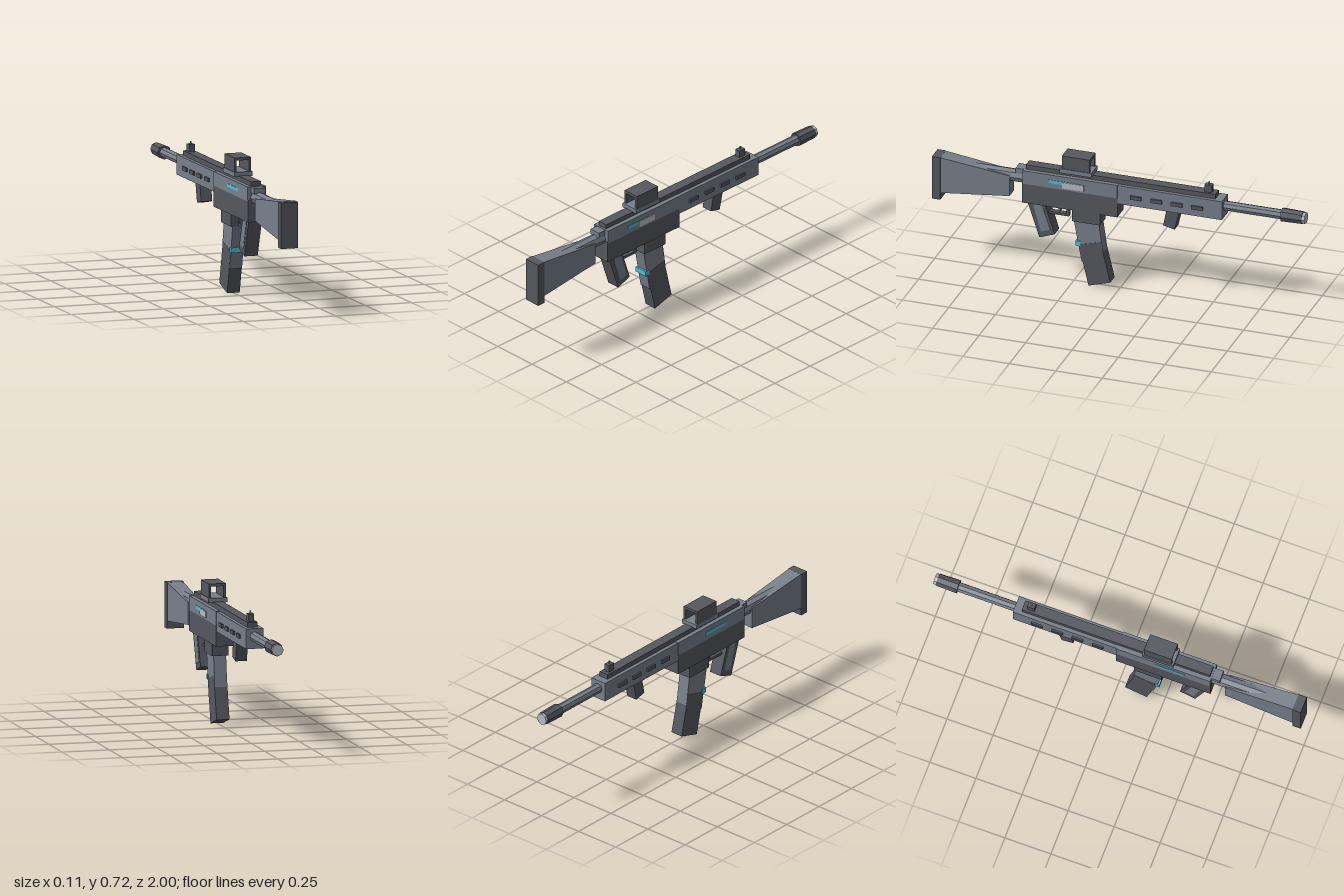
import * as THREE from 'three';

const mat = (name, color) => {
  const m = new THREE.MeshStandardMaterial({ color });
  m.name = name;
  return m;
};

export function createModel() {
  const steel = mat('steel grey', 0x78808b);
  const dark = mat('dark grey', 0x55585f);
  const silver = mat('silver', 0xb9bdc1);
  const cyan = mat('cyan', 0x4fc0d4);

  const model = new THREE.Group();
  model.name = 'rifle';

  const add = (name, geometry, material) => {
    const mesh = new THREE.Mesh(geometry, material);
    mesh.name = name;
    model.add(mesh);
    return mesh;
  };

  // Box from its extents on each axis
  const box = (name, material, [x0, x1], [y0, y1], [z0, z1]) => {
    const g = new THREE.BoxGeometry(x1 - x0, y1 - y0, z1 - z0);
    g.translate((x0 + x1) / 2, (y0 + y1) / 2, (z0 + z1) / 2);
    return add(name, g, material);
  };
  const mid = (half) => [-half, half];

  // Side outline of [z, y] points, extruded across x
  const prism = (name, material, half, points) => {
    const shape = new THREE.Shape(points.map(([z, y]) => new THREE.Vector2(z, y)));
    const g = new THREE.ExtrudeGeometry(shape, { depth: half * 2, bevelEnabled: false });
    g.translate(0, 0, -half);
    g.rotateY(-Math.PI / 2);
    return add(name, g, material);
  };

  // Faceted rod along z, from z0 (radius r0) to z1 (radius r1)
  const rod = (name, material, y, z0, z1, r0, r1 = r0, sides = 8) => {
    let g = new THREE.CylinderGeometry(r1, r0, Math.abs(z1 - z0), sides);
    g.rotateX(-Math.PI / 2);
    g.translate(0, y, (z0 + z1) / 2);
    g = g.toNonIndexed();
    g.computeVertexNormals();
    return add(name, g, material);
  };

  // Stock, narrowing slightly towards the receiver
  box('buttPad', dark, mid(0.045), [0.362, 0.6], [0.955, 1]);
  const stock = prism('stock', steel, 0.042, [[0.957, 0.4], [0.957, 0.6], [0.585, 0.555], [0.585, 0.44]]);
  const p = stock.geometry.attributes.position;
  for (let i = 0; i < p.count; i++) if (p.getZ(i) < 0.7) p.setX(i, p.getX(i) * 0.86);
  stock.geometry.computeVertexNormals();
  rod('stockTube', steel, 0.547, 0.86, 0.5, 0.034);
  box('stockLatch', steel, mid(0.03), [0.573, 0.602], [0.5, 0.555]);

  // Receiver and handguard
  box('upperReceiver', steel, mid(0.05), [0.53, 0.604], [0, 0.51]);
  box('lowerReceiver', dark, mid(0.049), [0.422, 0.538], [0, 0.512]);
  box('handguard', steel, mid(0.046), [0.498, 0.602], [-0.562, 0]);
  for (let i = 0; i < 4; i++) {
    const z = -0.1 - i * 0.11;
    box('vent' + (i + 1), dark, mid(0.055), [0.537, 0.557], [z - 0.03, z + 0.03]);
  }
  box('topRail', dark, mid(0.027), [0.6, 0.628], [-0.52, 0.5]);

  // Coloured strip and ejection port
  box('sideStrip', cyan, mid(0.052), [0.558, 0.576], [0.21, 0.37]);
  box('ejectionPort', silver, [0.04, 0.054], [0.54, 0.573], [0.18, 0.295]);

  // Open box sight
  box('sightBase', steel, mid(0.049), [0.624, 0.648], [0.14, 0.31]);
  box('sightTop', dark, mid(0.045), [0.706, 0.72], [0.15, 0.3]);
  for (const s of [-1, 1]) {
    const xs = s < 0 ? [-0.045, -0.033] : [0.033, 0.045];
    box(s < 0 ? 'sightWallRight' : 'sightWallLeft', dark, xs, [0.648, 0.706], [0.15, 0.3]);
  }

  // Front sight
  box('frontSight', dark, mid(0.015), [0.628, 0.667], [-0.497, -0.457]);
  const post = new THREE.CylinderGeometry(0.004, 0.004, 0.016, 6);
  post.translate(0, 0.674, -0.477);
  add('frontSightPost', post, cyan);

  // Barrel and muzzle
  rod('barrel', steel, 0.56, -0.55, -0.9, 0.026);
  rod('muzzle', dark, 0.56, -0.872, -0.985, 0.037, 0.034);
  rod('muzzleTip', silver, 0.56, -0.98, -1, 0.031);

  // Magazine
  box('magazineWell', dark, mid(0.043), [0.357, 0.425], [0.095, 0.245]);
  prism('upperMagazine', steel, 0.033, [[0.241, 0.365], [0.106, 0.365], [0.075, 0.15], [0.198, 0.13]]);
  prism('lowerMagazine', dark, 0.034, [[0.214, 0.225], [0.096, 0.257], [0.043, 0.036], [0.16, 0]]);
  box('magazineBand', cyan, mid(0.037), [0.218, 0.245], [0.203, 0.23]);

  // Pistol grip with side panels
  prism('grip', dark, 0.036, [[0.49, 0.43], [0.397, 0.43], [0.342, 0.262], [0.424, 0.232]]);
  prism('gripPanels', steel, 0.038, [[0.46, 0.422], [0.41, 0.422], [0.365, 0.285], [0.415, 0.268]]);

  // Trigger and its guard
  box('triggerGuard', dark, mid(0.014), [0.365, 0.379], [0.273, 0.39]);
  box('triggerGuardFront', dark, mid(0.014), [0.365, 0.425], [0.273, 0.285]);
  prism('trigger', steel, 0.008, [[0.342, 0.425], [0.328, 0.425], [0.318, 0.388], [0.328, 0.385]]);

  // Foregrip
  prism('foregrip', dark, 0.03, [[-0.26, 0.505], [-0.328, 0.505], [-0.302, 0.393], [-0.24, 0.408]]);

  return model;
}
